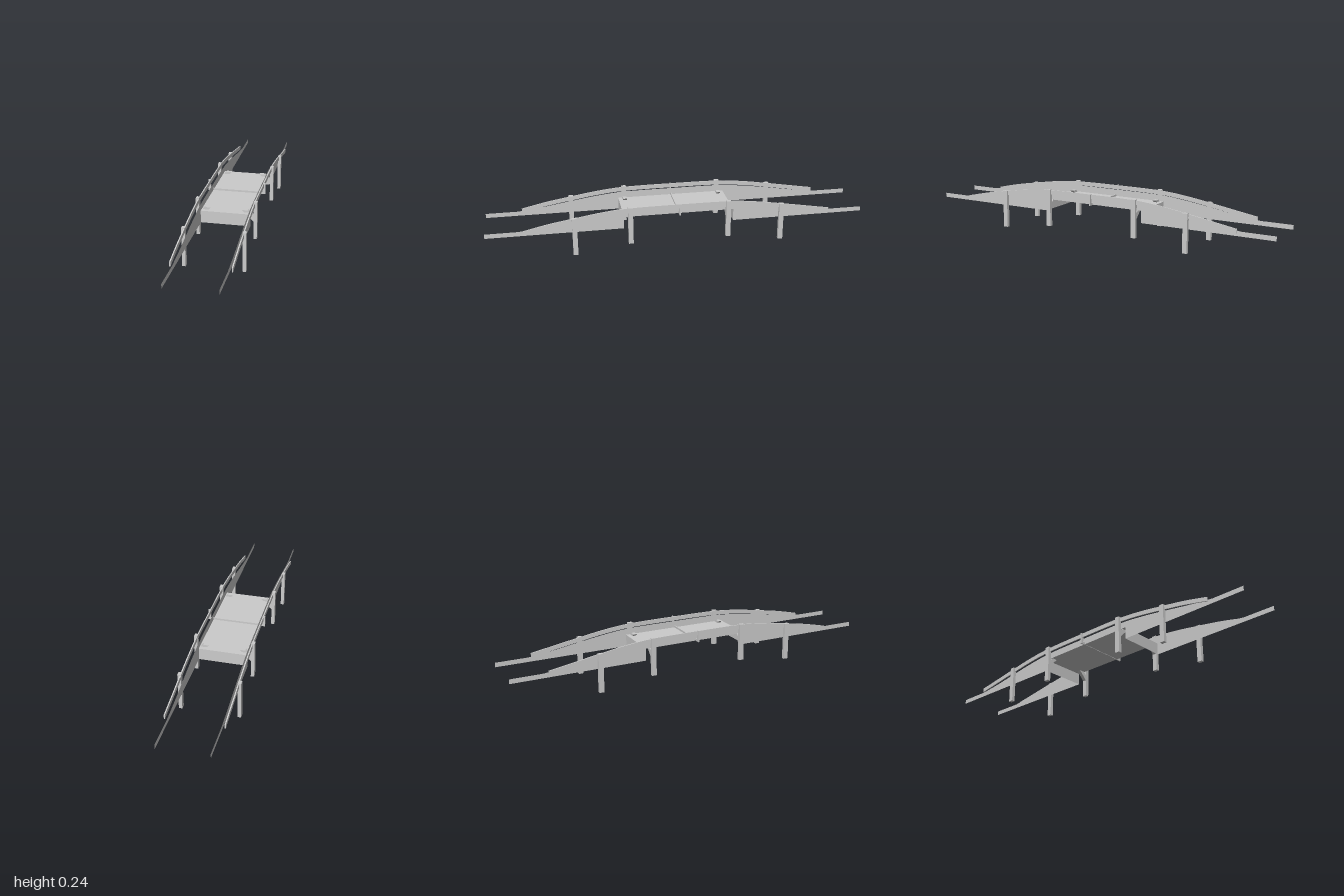
import * as THREE from 'three';

const grey = new THREE.MeshStandardMaterial({ color: 0xcccccc });
const sheet = new THREE.MeshStandardMaterial({ color: 0xcccccc, side: THREE.DoubleSide });

export function createModel() {
  const model = new THREE.Group();
  model.name = 'footbridge';

  const add = (name, geometry, material, x = 0, y = 0, z = 0) => {
    const mesh = new THREE.Mesh(geometry, material);
    mesh.name = name;
    mesh.position.set(x, y, z);
    model.add(mesh);
    return mesh;
  };
  const box = (name, w, h, d, x, y, z) => add(name, new THREE.BoxGeometry(w, h, d), grey, x, y, z);
  const toShape = (pts) => new THREE.Shape(pts.map(([a, b]) => new THREE.Vector2(a, b)));
  const spline = (pts, n) => new THREE.SplineCurve(pts.map(([a, b]) => new THREE.Vector2(a, b)))
    .getPoints(n).map((p) => [p.x, p.y]);

  const deckY = 0.181, deckX = 0.128, deckZ = 0.29, low = 0.117;

  // deck sheet and the upright plates closing its two ends
  add('deck', new THREE.PlaneGeometry(2 * deckX, 2 * deckZ).rotateX(-Math.PI / 2), sheet, 0, deckY, 0);
  for (const s of [1, -1]) {
    add('endPlate', new THREE.PlaneGeometry(2 * deckX, deckY - low), sheet, 0, (deckY + low) / 2, s * deckZ);
  }

  // thin arched side panel, notched below the deck
  const rise = spline([[0.83, 0.141], [0.7, 0.157], [0.55, 0.181], [0.4, 0.203], [0.25, 0.216], [0, 0.217]], 16);
  const panel = toShape([
    [1, low], [1, 0.141], ...rise,
    ...rise.slice(0, -1).reverse().map(([z, y]) => [-z, y]),
    [-1, 0.141], [-1, low], [-deckZ, low], [-deckZ, deckY], [deckZ, deckY], [deckZ, low],
  ]);

  // handrail following the arch
  const railTop = spline([[0.81, 0.149], [0.68, 0.178], [0.55, 0.2], [0.4, 0.223], [0.25, 0.236], [0, 0.238],
    [-0.25, 0.236], [-0.4, 0.223], [-0.55, 0.2], [-0.68, 0.178], [-0.81, 0.156]], 32);
  const rail = toShape([...railTop, ...railTop.slice().reverse().map(([z, y]) => [z, y - 0.022])]);

  // diagonal brace from post up through the deck
  const braceProfile = [[0.142, 0.131], [0.142, 0.164], [0.11, 0.193], [0.08, 0.193]];

  for (const s of [1, -1]) {
    add('sidePanel', new THREE.ShapeGeometry(panel).rotateY(-Math.PI / 2), sheet, s * deckX);

    const railGeo = new THREE.ExtrudeGeometry(rail, { depth: 0.006, bevelEnabled: false });
    add('handrail', railGeo.translate(0, 0, -0.003).rotateY(-Math.PI / 2), grey, s * 0.144);

    box('middleUpright', 0.014, 0.061, 0.006, s * 0.148, 0.2095, 0);

    for (const e of [1, -1]) {
      box('innerPost', 0.018, 0.2, 0.025, s * 0.149, 0.14, e * 0.258);
      box('outerPost', 0.018, 0.203, 0.025, s * 0.149, 0.1015, e * 0.546);

      const profile = toShape(braceProfile.map(([x, y]) => [s * x, y]));
      const brace = new THREE.ExtrudeGeometry(profile, { depth: 0.02, bevelEnabled: false });
      add('diagonalBrace', brace.translate(0, 0, -0.01), grey, 0, 0, e * 0.258);
    }
  }

  // cross beam at mid span
  box('crossBeam', 0.31, 0.012, 0.006, 0, 0.185, 0);

  return model;
}
